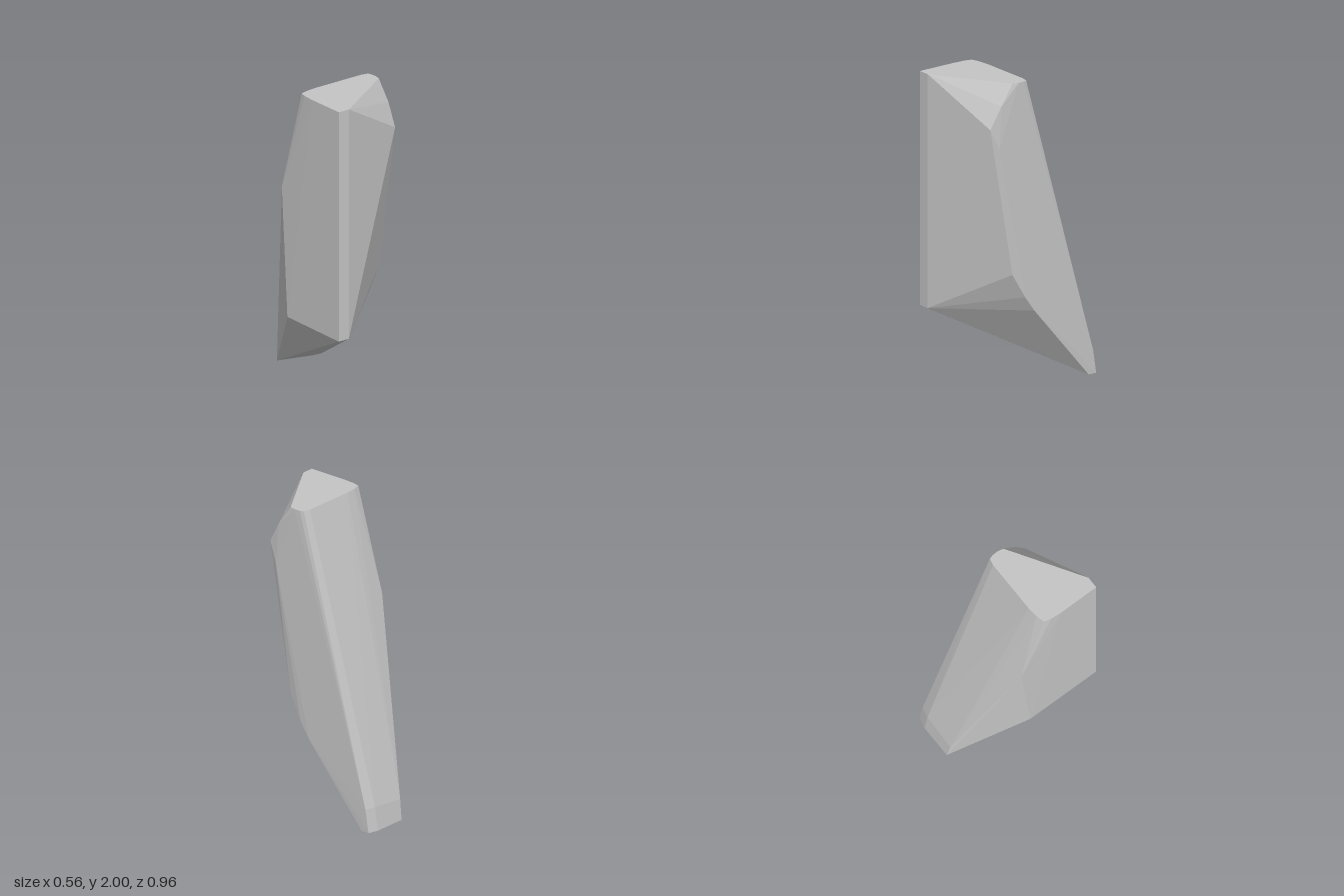
import * as THREE from 'three';
import { ConvexGeometry } from 'three/addons/geometries/ConvexGeometry.js';

export function createModel() {
  const group = new THREE.Group();
  group.name = 'standingStone';
  const stone = new THREE.MeshStandardMaterial({ color: 0xc5c5c5 });
  stone.name = 'light grey stone';

  // Flat top, as [x, z] around the rim
  const top = [
    [-0.205, 0.477], [-0.283, 0.477], [-0.283, 0.21], [-0.277, 0.13], [-0.265, 0.085],
    [-0.21, 0.07], [-0.14, 0.063], [0.22, 0.063], [0.265, 0.073], [0.273, 0.1],
    [0.275, 0.14], [0.265, 0.18],
  ].map(([x, z]) => [x, 2, z]);

  // Narrow foot at the back, and the chamfer just above it
  const foot = [
    [-0.015, 0, -0.479], [0.21, 0, -0.479], [0.279, 0, -0.462], [0.277, 0, -0.405], [0.22, 0, -0.41],
    [-0.025, 0.13, -0.459], [0.21, 0.15, -0.456], [0.28, 0.15, -0.438],
  ];

  // Lower corners of the front and left sides
  const frontLeft = [
    [-0.283, 0.483, 0.477], [-0.205, 0.483, 0.477],
    [-0.283, 0.49, -0.035], [-0.275, 1.33, -0.1],
  ];

  // Worn edge running down the other side
  const wornEdge = [
    [0.26, 1.73, 0.348], [0.27, 1.87, 0.27], [0.277, 1.6, 0.29],
    [0.265, 0.76, 0.18], [0.277, 0.6, 0.09], [0.28, 0.5, 0.02],
  ];

  const points = [...top, ...foot, ...frontLeft, ...wornEdge].map((p) => new THREE.Vector3(...p));
  const rock = new THREE.Mesh(new ConvexGeometry(points), stone);
  rock.name = 'rock';
  group.add(rock);
  return group;
}
